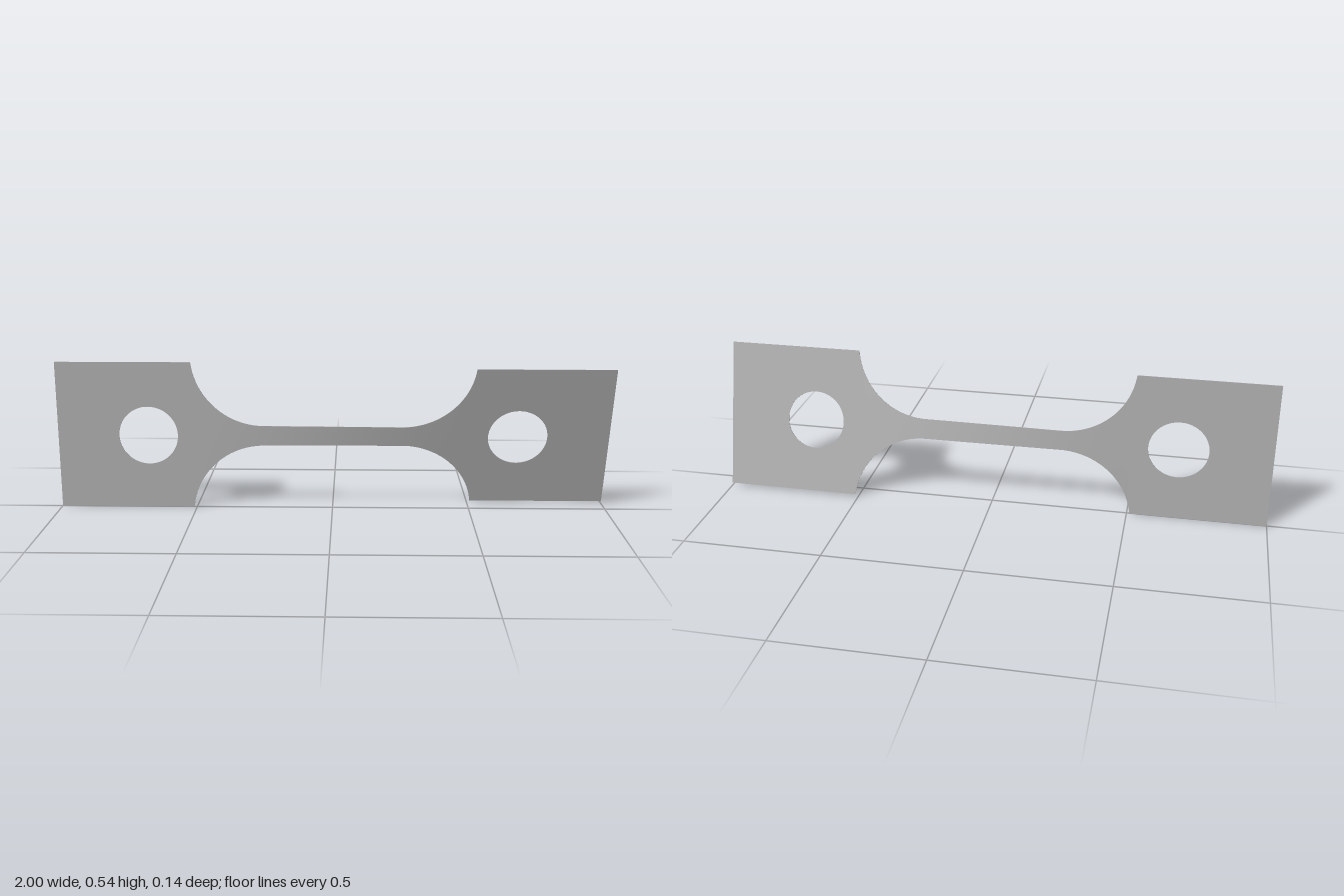
import * as THREE from 'three';

const MID_Y = 0.271;      // height of the long axis
const GRIP_HALF = 0.271;  // half height of the end plates
const NECK_HALF = 0.037;  // half height of the neck
const THICK = 0.002;
const GRIP_X = 0.51;      // where the plates meet the fillets
const FILLET_X = 0.25;    // where the fillets meet the straight neck
const TWIST_START = THREE.MathUtils.degToRad(0.5);
const TWIST_END = THREE.MathUtils.degToRad(14.8);

const steel = new THREE.MeshStandardMaterial({ color: 0xb3b3b3 });
steel.name = 'grey steel';

// Flat end plate with a round hole, turned about the long axis
function makeGrip(name, side, angle) {
  const a = Math.min(side * GRIP_X, side), b = Math.max(side * GRIP_X, side);
  const shape = new THREE.Shape();
  shape.moveTo(a, -GRIP_HALF);
  shape.lineTo(b, -GRIP_HALF);
  shape.lineTo(b, GRIP_HALF);
  shape.lineTo(a, GRIP_HALF);
  shape.closePath();
  const hole = new THREE.Path();
  hole.absarc(side * 0.67, 0, 0.107, 0, Math.PI * 2, true);
  shape.holes.push(hole);
  const geometry = new THREE.ExtrudeGeometry(shape, { depth: THICK, bevelEnabled: false, curveSegments: 32 });
  geometry.translate(0, 0, -THICK / 2);
  geometry.rotateX(angle);
  const mesh = new THREE.Mesh(geometry, steel);
  mesh.name = name;
  return mesh;
}

// Neck with arc fillets: a box whose vertices follow the profile and the twist
function makeNeck() {
  const geometry = new THREE.BoxGeometry(2, 2, THICK, 80, 8, 1);
  const p = geometry.attributes.position;
  const run = GRIP_X - FILLET_X, rise = GRIP_HALF - NECK_HALF;
  const radius = (run * run + rise * rise) / (2 * rise);
  const sweep = Math.atan2(run, radius - rise);
  for (let i = 0; i < p.count; i++) {
    const u = Math.abs(p.getX(i)), side = Math.sign(p.getX(i));
    // inner 40 % of the segments are straight, the rest step round the arc
    const arc = Math.max(0, (u - 0.4) / 0.6) * sweep;
    const x = side * (u < 0.4 ? (u / 0.4) * FILLET_X : FILLET_X + radius * Math.sin(arc));
    const half = NECK_HALF + radius * (1 - Math.cos(arc));
    const angle = THREE.MathUtils.lerp(TWIST_START, TWIST_END, THREE.MathUtils.smoothstep(x, -GRIP_X, GRIP_X));
    const y = p.getY(i) * half, z = p.getZ(i);
    p.setXYZ(i, x, y * Math.cos(angle) - z * Math.sin(angle), y * Math.sin(angle) + z * Math.cos(angle));
  }
  geometry.computeVertexNormals();
  const mesh = new THREE.Mesh(geometry, steel);
  mesh.name = 'twistedNeck';
  return mesh;
}

export function createModel() {
  const model = new THREE.Group();
  model.name = 'twistedTestStrip';
  const strip = new THREE.Group();
  strip.name = 'strip';
  strip.position.y = MID_Y;
  strip.add(
    makeGrip('rightGrip', -1, TWIST_START),
    makeNeck(),
    makeGrip('leftGrip', 1, TWIST_END)
  );
  model.add(strip);
  return model;
}
